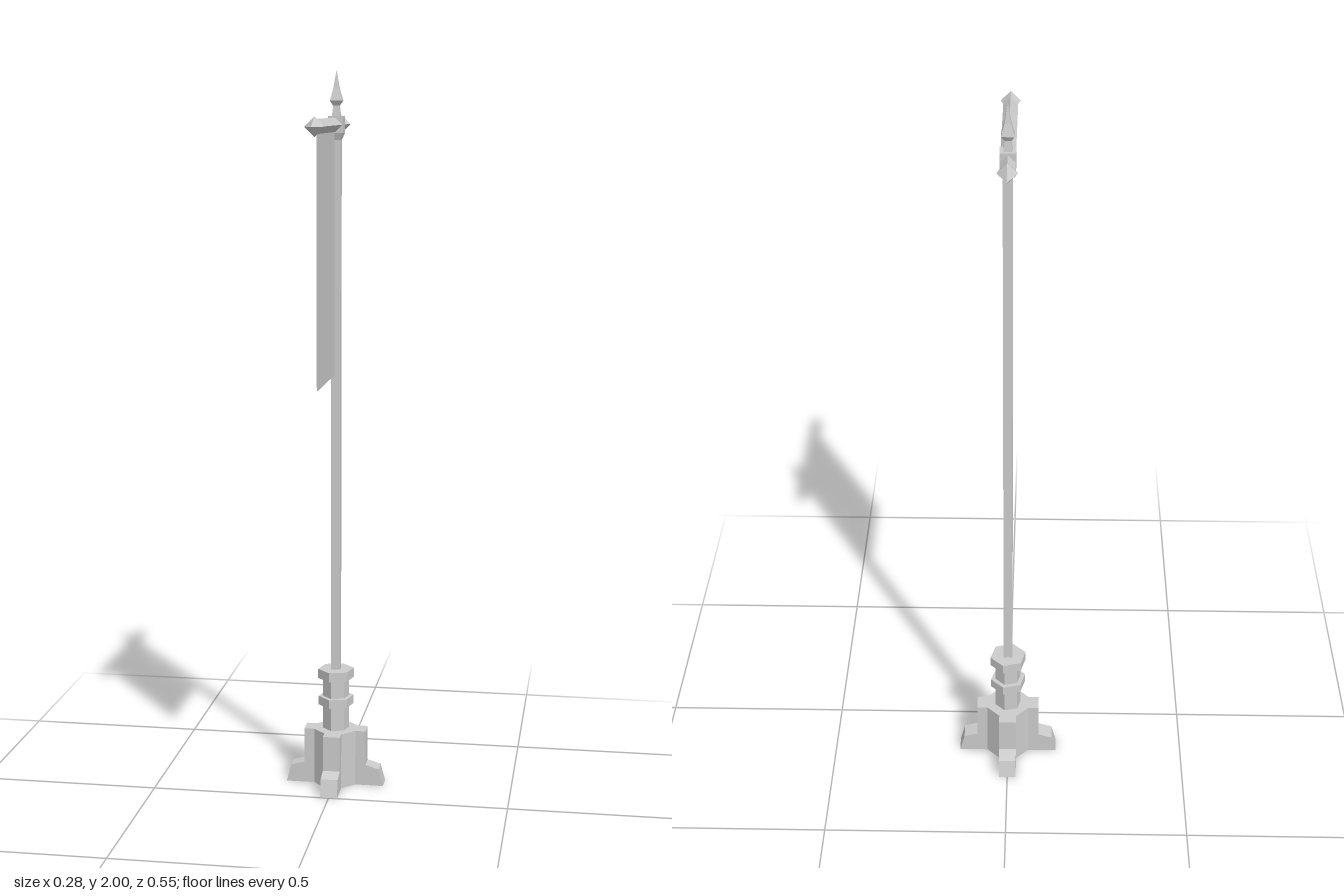
import * as THREE from 'three';

const POLE_Z = -0.14;
const mat = new THREE.MeshStandardMaterial({ color: 0xcccccc, flatShading: true });
const clothMat = new THREE.MeshStandardMaterial({ color: 0xcccccc, side: THREE.DoubleSide });

function add(parent, name, geometry, material = mat) {
  const mesh = new THREE.Mesh(geometry, material);
  mesh.name = name;
  parent.add(mesh);
  return mesh;
}

// Upright prism or frustum between two heights; radii are to the corners
function prism(rTop, rBottom, y0, y1, sides) {
  return new THREE.CylinderGeometry(rTop, rBottom, y1 - y0, sides, 1, false, Math.PI / 4)
    .translate(0, (y0 + y1) / 2, 0);
}

// Square-section solid from half-width profile points [halfWidth, y]
function squareLathe(profile) {
  const pts = profile.map(([w, y]) => new THREE.Vector2(w * Math.SQRT2, y));
  return new THREE.LatheGeometry(pts, 4, Math.PI / 4);
}

// Polygon outline [x, y] extruded by depth
function extrude(points, depth) {
  const shape = new THREE.Shape(points.map(([x, y]) => new THREE.Vector2(x, y)));
  return new THREE.ExtrudeGeometry(shape, { depth, bevelEnabled: false });
}

export function createModel() {
  const model = new THREE.Group();
  model.name = 'bannerPole';
  const stand = new THREE.Group();
  stand.name = 'stand';
  stand.position.z = POLE_Z;
  model.add(stand);

  // Base: chamfered core with four stepped feet
  const a = 0.059, b = 0.024, baseTop = 0.16;
  const core = extrude([[a, -b], [a, b], [b, a], [-b, a], [-a, b], [-a, -b], [-b, -a], [b, -a]], baseTop);
  add(stand, 'baseCore', core.rotateX(-Math.PI / 2));
  const footProfile = [[0.055, 0], [0.139, 0], [0.126, 0.049], [0.088, 0.06], [0.088, baseTop], [0.055, baseTop]];
  for (let i = 0; i < 4; i++) {
    const foot = add(stand, 'foot', extrude(footProfile, 2 * b).translate(0, 0, -b));
    foot.rotation.y = i * Math.PI / 2;
  }

  // Hexagonal socket with two collars
  add(stand, 'socket', prism(0.037, 0.037, 0.15, 0.32, 6));
  add(stand, 'lowerCollar', prism(0.05, 0.05, 0.23, 0.255, 6));
  add(stand, 'upperCollar', prism(0.051, 0.051, 0.308, 0.335, 6));

  // Square pole, bracket and spike
  add(stand, 'pole', prism(0.0125 * Math.SQRT2, 0.0125 * Math.SQRT2, 0.32, 1.85, 4));
  add(stand, 'bracket', squareLathe([[0, 1.815], [0.013, 1.815], [0.02, 1.833], [0.02, 1.878], [0, 1.878]]));
  add(stand, 'finial', squareLathe([[0.011, 1.877], [0.008, 1.905], [0.016, 1.918], [0.008, 1.95], [0, 2]]));

  // Diamond-section crossbar with a flared point at each end
  const barPoints = [[0, -0.276], [0.026, -0.222], [0.019, -0.2], [0.019, 0.2], [0.026, 0.222], [0, 0.276]]
    .map(([r, z]) => new THREE.Vector2(r, z));
  const bar = add(model, 'crossbar', new THREE.LatheGeometry(barPoints, 4).rotateX(Math.PI / 2));
  bar.position.y = 1.855;

  // Hanging cloth
  const cloth = add(model, 'banner', new THREE.PlaneGeometry(0.295, 0.665), clothMat);
  cloth.rotation.y = Math.PI / 2;
  cloth.position.set(0, 1.5125, 0.044);

  return model;
}
